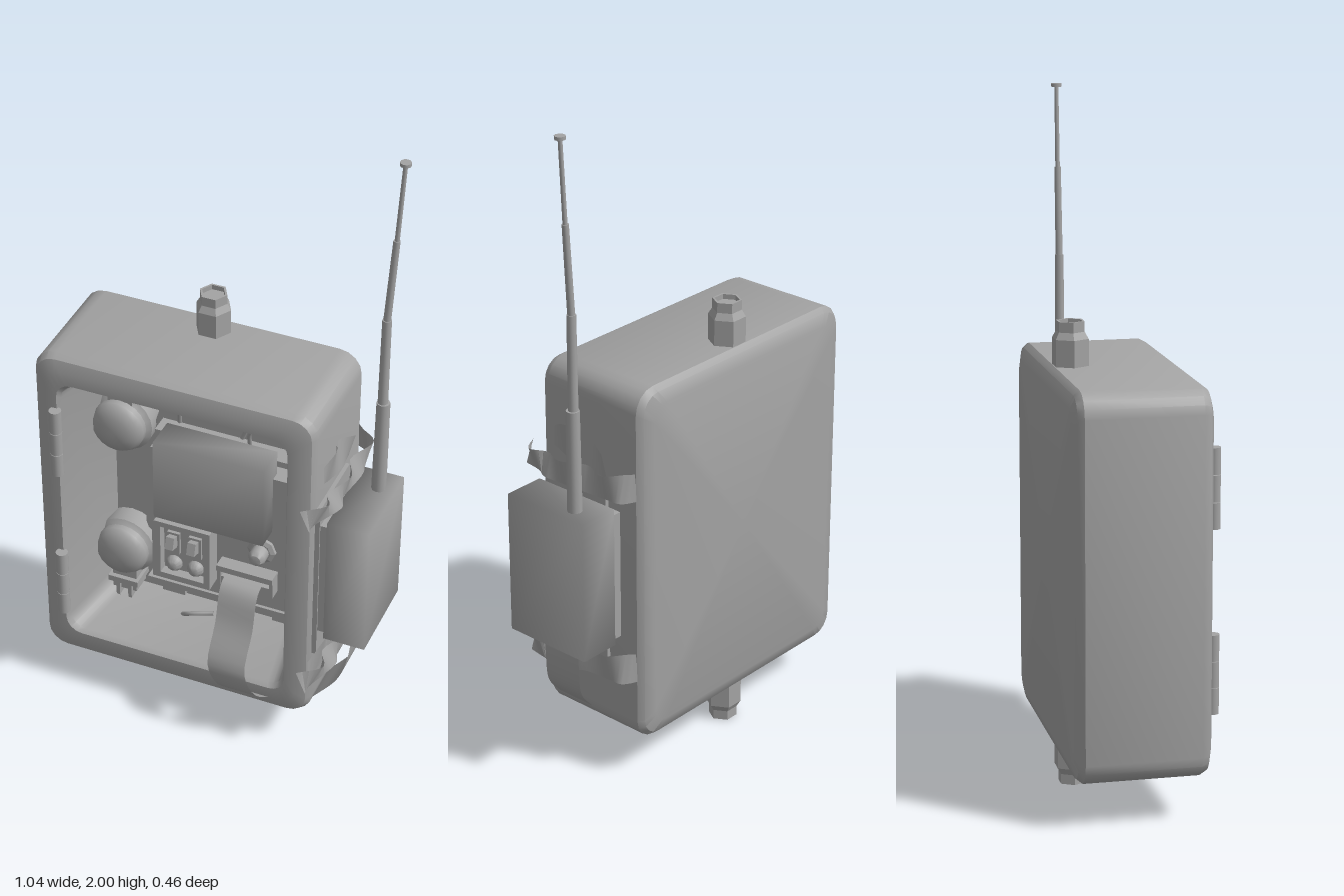
import * as THREE from 'three';
import { mergeVertices, toCreasedNormals } from 'three/addons/utils/BufferGeometryUtils.js';

const V = (x, y, z) => new THREE.Vector3(x, y, z);

// Rounded rectangle loop, counter-clockwise from the front
function loop(x0, x1, y0, y1, r, z) {
  const pts = [];
  const corners = [[x1 - r, y0 + r, -90], [x1 - r, y1 - r, 0], [x0 + r, y1 - r, 90], [x0 + r, y0 + r, 180]];
  for (const [cx, cy, a0] of corners)
    for (let k = 0; k <= 4; k++) {
      const a = THREE.MathUtils.degToRad(a0 + k * 22.5);
      pts.push(V(cx + r * Math.cos(a), cy + r * Math.sin(a), z));
    }
  return pts;
}

// Skin through rows of points
function skin(rows, closed, crease = 0.6) {
  const n = rows[0].length, pos = [], idx = [];
  rows.flat().forEach(p => pos.push(p.x, p.y, p.z));
  for (let i = 0; i < rows.length - 1; i++)
    for (let j = 0; j < (closed ? n : n - 1); j++) {
      const a = i * n + j, b = i * n + (j + 1) % n;
      idx.push(a, b, b + n, a, b + n, a + n);
    }
  const g = new THREE.BufferGeometry();
  g.setAttribute('position', new THREE.Float32BufferAttribute(pos, 3));
  g.setIndex(idx);
  return toCreasedNormals(g, crease);
}

// Soft strip along a path: each entry is [centre, half width vector]
function strip(sections, steps = 20) {
  const mid = new THREE.CatmullRomCurve3(sections.map(s => s[0]));
  const half = new THREE.CatmullRomCurve3(sections.map(s => s[1]));
  const rows = [];
  for (let i = 0; i <= steps; i++) {
    const c = mid.getPoint(i / steps), h = half.getPoint(i / steps);
    rows.push([c.clone().sub(h), c.clone().add(h)]);
  }
  return skin(rows, false, 1.2);
}

export function createModel() {
  const model = new THREE.Group();
  const grey = new THREE.MeshStandardMaterial({ color: 0xa3a3a3, side: THREE.DoubleSide });
  grey.name = 'grey';

  const add = (name, geo, x = 0, y = 0, z = 0) => {
    const m = new THREE.Mesh(geo, grey);
    m.name = name;
    m.position.set(x, y, z);
    model.add(m);
    return m;
  };
  // Box from its limits, optionally with softened shading
  const box = (name, x0, x1, y0, y1, z0, z1, soft) => {
    let g = new THREE.BoxGeometry(x1 - x0, y1 - y0, z1 - z0);
    if (soft) {
      g.deleteAttribute('normal');
      g.deleteAttribute('uv');
      g = mergeVertices(g);
      g.computeVertexNormals();
    }
    return add(name, g, (x0 + x1) / 2, (y0 + y1) / 2, (z0 + z1) / 2);
  };
  // Turned part; profile is [radius, height] pairs, facing +z when front is set
  const turned = (name, profile, x, y, z, sides, front = true) => {
    const g = new THREE.LatheGeometry(profile.map(p => new THREE.Vector2(...p)), sides);
    const m = add(name, toCreasedNormals(g, sides > 8 ? 0.7 : 0.3), x, y, z);
    if (front) m.rotation.x = Math.PI / 2;
    return m;
  };
  const wire = (name, pts, r = 0.007) =>
    add(name, new THREE.TubeGeometry(new THREE.CatmullRomCurve3(pts.map(p => V(...p))), 16, r, 6));

  // Housing: closed back, bevelled edges, tapered cavity
  const at = (z, r, inset) => loop(-0.523 + inset, 0.358 - inset, 0.13 + inset, 1.25 - inset, r, z);
  add('housing', skin([
    Array(20).fill(V(-0.08, 0.69, -0.233)),
    at(-0.233, 0.05, 0.05), at(-0.222, 0.06, 0.014), at(-0.205, 0.07, 0),
    at(0.13, 0.07, 0), at(0.152, 0.06, 0.012), at(0.165, 0.05, 0.045),
    loop(-0.444, 0.28, 0.215, 1.165, 0.05, 0.165),
    loop(-0.435, 0.273, 0.225, 1.155, 0.05, 0.15),
    loop(-0.385, 0.235, 0.25, 1.13, 0.05, -0.1),
    Array(20).fill(V(-0.08, 0.69, -0.1)),
  ], true));

  // Hexagonal pipe stubs above and below
  const stub = [[0, 0], [0.055, 0], [0.055, 0.085], [0.043, 0.105], [0.043, 0.135], [0.036, 0.135], [0.036, 0.12], [0, 0.12]];
  for (const s of [1, -1]) {
    const m = turned(s > 0 ? 'topPipe' : 'bottomPipe', stub, -0.085, s > 0 ? 1.243 : 0.137, -0.155, 6, false);
    if (s < 0) m.rotation.x = Math.PI;
    m.rotation.y = Math.PI / 6;
  }

  // Hinge barrels on the front edge, each in three knuckles
  for (const y of [0.957, 0.42])
    for (const k of [-1, 0, 1])
      add('hingeKnuckle', new THREE.CylinderGeometry(0.019, 0.019, 0.076, 12), -0.444, y + k * 0.078, 0.176);

  // Chamfered backing plate in the cavity
  const plate = new THREE.Shape([[-0.2, 0.3], [0.17, 0.3], [0.25, 0.42], [0.25, 0.93], [0.17, 1.05], [-0.2, 1.05],
    [-0.275, 0.8], [-0.275, 0.53]].map(p => new THREE.Vector2(...p)));
  add('backingPlate', new THREE.ExtrudeGeometry(plate, { depth: 0.035, bevelEnabled: false }), 0, 0, -0.105);

  // Round drums with brackets, mirrored about the middle
  const drum = [[0.1, -0.08], [0.1, -0.02], [0.085, -0.01], [0.085, 0.01], [0.075, 0.026], [0.045, 0.038], [0, 0.042]];
  for (const s of [1, -1]) {
    const y = 0.675 + s * 0.24;
    turned('drum', drum, -0.335, y, -0.02, 20);
    const bar = (name, x0, x1, a, b, z0, z1) =>
      box(name, x0, x1, Math.min(y + s * a, y + s * b), Math.max(y + s * a, y + s * b), z0, z1);
    bar('drumBracket', -0.375, -0.295, 0.07, 0.17, -0.1, -0.03);
    bar('bracketCap', -0.385, -0.285, 0.12, 0.14, -0.1, -0.015);
    for (const x of [-0.36, -0.32]) bar('bracketProng', x, x + 0.012, 0.13, 0.22, -0.1, -0.02);
  }

  // Hex bolts with domed heads
  for (const y of [1.085, 0.275]) {
    turned('boltNut', [[0.045, -0.06], [0.045, 0], [0.032, 0.012], [0, 0.012]], 0.012, y, -0.045, 6);
    turned('boltHead', [[0.027, 0], [0.027, 0.025], [0.017, 0.037], [0, 0.04]], 0.012, y, -0.035, 14);
  }

  // Control unit: body, corner rails and feet
  box('unitBase', -0.212, 0.258, 0.415, 0.945, -0.09, -0.01);
  box('unitBody', -0.2, 0.243, 0.43, 0.925, -0.05, 0.05);
  box('unitFoot', -0.195, -0.12, 0.325, 0.42, -0.09, -0.01);
  box('unitFoot', 0.17, 0.22, 0.325, 0.42, -0.09, -0.01);
  box('unitSill', -0.212, 0.258, 0.41, 0.43, -0.05, 0.06);
  box('screen', -0.158, 0.19, 0.73, 1.005, 0.02, 0.125, true);

  // Switch panel: raised rim, rocker switches and buttons
  const rim = new THREE.Shape([[-0.168, 0.485], [0.013, 0.485], [0.013, 0.697], [-0.168, 0.697]].map(p => new THREE.Vector2(...p)));
  rim.holes.push(new THREE.Path([[-0.148, 0.503], [-0.148, 0.679], [-0.007, 0.679], [-0.007, 0.503]].map(p => new THREE.Vector2(...p))));
  add('switchRim', new THREE.ExtrudeGeometry(rim, { depth: 0.06, bevelEnabled: false }), 0, 0, 0.045);
  box('switchPlate', -0.15, -0.005, 0.5, 0.68, 0.045, 0.075);
  for (const x of [-0.114, -0.044]) {
    box('switchSocket', x - 0.02, x + 0.02, 0.572, 0.65, 0.07, 0.085);
    box('switchLever', x - 0.013, x + 0.013, 0.605, 0.645, 0.08, 0.115).rotation.x = -0.3;
    turned('button', [[0.026, 0], [0.026, 0.012], [0.016, 0.025], [0, 0.03]], x, 0.53, 0.073, 14);
  }

  // Knob
  turned('knobCollar', [[0.045, 0], [0.045, 0.01], [0.032, 0.016], [0, 0.016]], 0.16, 0.652, 0.05, 8);
  turned('knob', [[0.027, 0], [0.027, 0.035], [0.018, 0.05], [0, 0.054]], 0.16, 0.652, 0.06, 16);

  // Ribbon slot and the two flat ribbons
  box('slotTop', 0.03, 0.21, 0.56, 0.58, 0.045, 0.095);
  box('slotBottom', 0.03, 0.21, 0.505, 0.535, 0.045, 0.085);
  box('slotEnd', 0.03, 0.042, 0.505, 0.58, 0.045, 0.09);
  box('slotEnd', 0.198, 0.21, 0.505, 0.58, 0.045, 0.09);
  const w = V(0.06, 0, 0);
  add('frontRibbon', strip([[V(0.115, 0.548, 0.05), w], [V(0.115, 0.53, 0.12), w], [V(0.117, 0.42, 0.165), w],
    [V(0.118, 0.3, 0.226), w], [V(0.145, 0.21, 0.205), w], [V(0.175, 0.175, 0.16), w]]));
  const d = V(0, 0, 0.066);
  add('sideRibbon', strip([[V(0.452, 0.47, 0.005), d], [V(0.452, 0.37, 0.003), d], [V(0.425, 0.26, 0.02), d],
    [V(0.352, 0.175, 0.045), d]]));

  // Loose wires in the cavity
  wire('wire', [[-0.16, 1.15, -0.02], [-0.13, 1.08, 0], [-0.14, 0.98, -0.03]]);
  wire('wire', [[0.16, 1.15, -0.03], [0.15, 1.08, -0.02], [0.09, 1.02, -0.02], [0.08, 0.95, -0.04]]);
  wire('wire', [[0.08, 1.15, -0.04], [0.09, 1.07, -0.02], [0.06, 0.98, -0.03]]);
  wire('wire', [[-0.15, 0.22, -0.03], [-0.1, 0.265, 0], [-0.03, 0.275, -0.02]]);

  // Side unit on its mounting plate
  box('sideMount', 0.35, 0.37, 0.38, 0.93, -0.1, 0.135);
  box('sideMountBlock', 0.365, 0.4, 0.47, 0.87, -0.15, 0.13);
  box('sideUnit', 0.392, 0.521, 0.452, 0.89, -0.152, 0.137, true);
  box('ribbonOutlet', 0.435, 0.468, 0.435, 0.455, -0.075, 0.085);

  // Crumpled tape straps above and below the side unit
  const tape = (name, y, h, tilt) => add(name, strip([
    [V(0.352, y - tilt, 0.212), V(-0.015, h * 0.8, 0)], [V(0.385, y - tilt, 0.165), V(0.02, h, 0)],
    [V(0.4, y, 0.1), V(-0.018, h * 0.7, 0.01)], [V(0.41, y, 0.03), V(0.012, h, 0)],
    [V(0.405, y + tilt, -0.06), V(-0.015, h * 0.8, 0.01)], [V(0.415, y + tilt, -0.14), V(0.012, h, 0)],
    [V(0.385, y + tilt, -0.185), V(-0.01, h, 0)], [V(0.345, y + tilt, -0.212), V(0, h, 0)]], 32));
  tape('upperTape', 0.95, 0.042, 0.01);
  tape('lowerTape', 0.35, 0.045, 0.03);
  add('tapeFlap', strip([[V(0.365, 1.03, 0.1), V(0, 0.03, 0)], [V(0.372, 1.03, 0.05), V(0.01, 0.055, 0)],
    [V(0.366, 1.02, -0.02), V(-0.006, 0.05, 0)], [V(0.375, 1.0, -0.1), V(0.01, 0.04, 0)]]));
  add('tapeFlap', strip([[V(0.365, 0.34, 0.19), V(0, 0.05, 0)], [V(0.375, 0.36, 0.12), V(0.01, 0.06, 0)],
    [V(0.365, 0.32, 0.03), V(0, 0.04, 0)]]));

  // Telescopic aerial, slightly bent
  const rods = [[0.47, 0.88, 0.472, 1.2, 0.022], [0.47, 1.19, 0.471, 1.485, 0.015],
    [0.471, 1.48, 0.488, 1.75, 0.011], [0.488, 1.74, 0.502, 1.995, 0.007]];
  for (const [x0, y0, x1, y1, r] of rods) {
    const m = add('aerialRod', new THREE.CylinderGeometry(r * 0.9, r, Math.hypot(x1 - x0, y1 - y0), 10), (x0 + x1) / 2, (y0 + y1) / 2, -0.076);
    m.rotation.z = -Math.atan2(x1 - x0, y1 - y0);
  }
  add('aerialTip', new THREE.CylinderGeometry(0.016, 0.016, 0.01, 10), 0.502, 1.995, -0.076);
  return model;
}
